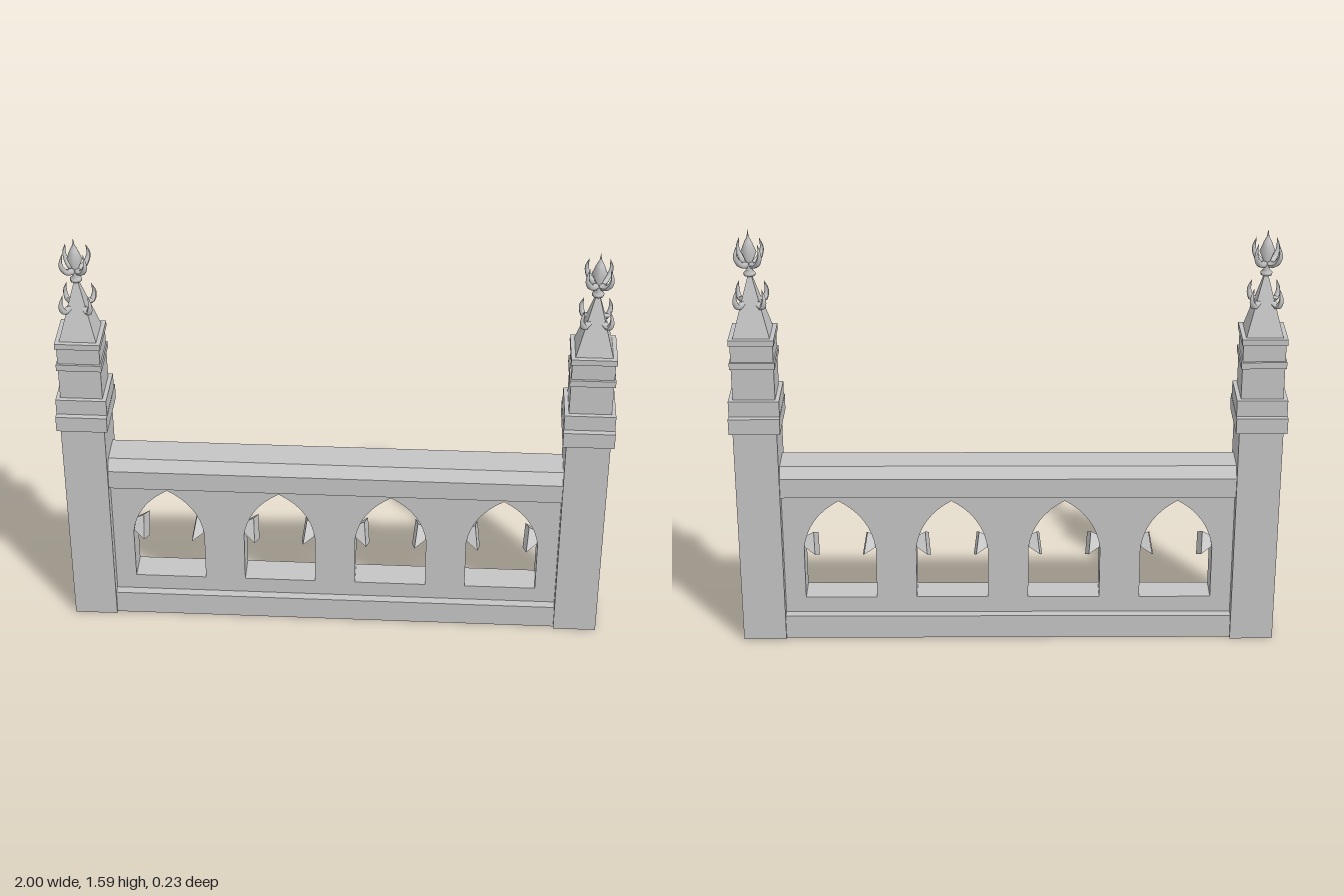
import * as THREE from 'three';
import { ConvexGeometry } from 'three/addons/geometries/ConvexGeometry.js';

const stone = new THREE.MeshStandardMaterial({ color: 0xc4c4c4 });

function add(parent, name, geometry, x = 0, y = 0, z = 0) {
  const mesh = new THREE.Mesh(geometry, stone);
  mesh.name = name;
  mesh.position.set(x, y, z);
  parent.add(mesh);
  return mesh;
}

// Box from half width, half depth and its bottom and top heights
function block(parent, name, hx, hz, y0, y1) {
  return add(parent, name, new THREE.BoxGeometry(hx * 2, y1 - y0, hz * 2), 0, (y0 + y1) / 2, 0);
}

function faceted(geometry) {
  const g = geometry.toNonIndexed();
  g.computeVertexNormals();
  return g;
}

// Tube along [radius, height] points, tapering to a sharp tip
function horn(points, thickness) {
  const curve = new THREE.CatmullRomCurve3(points.map(([r, y]) => new THREE.Vector3(r, y, 0)));
  const rings = 10, sides = 6;
  const g = new THREE.TubeGeometry(curve, rings, thickness, sides, false);
  const p = g.attributes.position, v = new THREE.Vector3();
  for (let i = 0; i <= rings; i++) {
    const c = curve.getPointAt(i / rings);
    const s = 1 - Math.pow(i / rings, 2);
    for (let j = 0; j <= sides; j++) {
      const k = i * (sides + 1) + j;
      v.fromBufferAttribute(p, k).sub(c).multiplyScalar(s).add(c);
      p.setXYZ(k, v.x, v.y, v.z);
    }
  }
  g.computeVertexNormals();
  return g;
}

// Four horns on the diagonals
function diagonalHorns(parent, name, points, thickness) {
  const g = horn(points, thickness);
  for (let i = 0; i < 4; i++) add(parent, name, g).rotation.y = Math.PI / 4 + i * Math.PI / 2;
}

function createPost(x) {
  const post = new THREE.Group();
  post.name = 'post';
  post.position.x = x;
  block(post, 'shaft', 0.079, 0.1, 0, 0.85);
  block(post, 'lowerCollar', 0.092, 0.113, 0.85, 0.91);
  block(post, 'upperCollar', 0.091, 0.091, 0.91, 0.97);
  block(post, 'upperShaft', 0.076, 0.074, 0.97, 1.18);
  block(post, 'middleBand', 0.081, 0.083, 1.09, 1.115);
  block(post, 'topBand', 0.081, 0.083, 1.18, 1.202);

  // Four-sided spire with hooked crockets on its corners
  const spire = new THREE.CylinderGeometry(0.008, 0.093, 0.22, 4);
  spire.rotateY(Math.PI / 4);
  add(post, 'spire', faceted(spire), 0, 1.312, 0);
  diagonalHorns(post, 'crocket', [[0.035, 1.32], [0.06, 1.312], [0.073, 1.34], [0.062, 1.382]], 0.012);

  // Finial bud and its leaves
  const profile = [[0, 1.418], [0.021, 1.418], [0.021, 1.428], [0.01, 1.438], [0.02, 1.455],
    [0.012, 1.468], [0.028, 1.505], [0.013, 1.543], [0.004, 1.56], [0, 1.587]];
  add(post, 'finialBud', new THREE.LatheGeometry(profile.map(([r, y]) => new THREE.Vector2(r, y)), 8));
  diagonalHorns(post, 'finialLeaf', [[0.008, 1.458], [0.038, 1.465], [0.06, 1.5], [0.05, 1.545]], 0.012);
  return post;
}

// Wall panel with four pointed-arch openings
function createPanel() {
  const half = 0.83, depth = 0.11;
  const shape = new THREE.Shape();
  shape.moveTo(-half, 0.08).lineTo(half, 0.08).lineTo(half, 0.6).lineTo(-half, 0.6).closePath();
  for (const c of openings) {
    const hole = new THREE.Path();
    hole.moveTo(c - 0.132, 0.155);
    hole.lineTo(c - 0.132, 0.36);
    hole.quadraticCurveTo(c - 0.115, 0.49, c, 0.555);
    hole.quadraticCurveTo(c + 0.115, 0.49, c + 0.132, 0.36);
    hole.lineTo(c + 0.132, 0.155);
    hole.closePath();
    shape.holes.push(hole);
  }
  const g = new THREE.ExtrudeGeometry(shape, { depth, bevelEnabled: false, curveSegments: 8 });
  return g.translate(0, 0, -depth / 2);
}

const openings = [-0.62, -0.207, 0.207, 0.62];

export function createModel() {
  const model = new THREE.Group();
  model.name = 'balustrade';
  for (const side of [-1, 1]) model.add(createPost(side * 0.907));

  add(model, 'panel', createPanel());
  block(model, 'plinth', 0.83, 0.088, 0, 0.092);

  // Top rail with sloping edges
  const rail = new THREE.Shape();
  rail.moveTo(-0.09, 0.585).lineTo(0.09, 0.585).lineTo(0.09, 0.66)
    .lineTo(0.058, 0.698).lineTo(-0.058, 0.698).lineTo(-0.09, 0.66).closePath();
  const railGeometry = new THREE.ExtrudeGeometry(rail, { depth: 1.66, bevelEnabled: false });
  railGeometry.rotateY(Math.PI / 2).translate(-0.83, 0, 0);
  add(model, 'topRail', railGeometry);

  // Pointed cusps set into both sides of each arch
  for (const c of openings) {
    for (const s of [-1, 1]) {
      const corners = [[0.1, 0.4, 0], [0.08, 0.305, 0], [0.09, 0.352, 0.09], [0.09, 0.352, -0.09], [0.167, 0.363, 0]];
      const g = new ConvexGeometry(corners.map(([x, y, z]) => new THREE.Vector3(s * x, y, z)));
      add(model, 'archCusp', g, c);
    }
  }
  return model;
}
